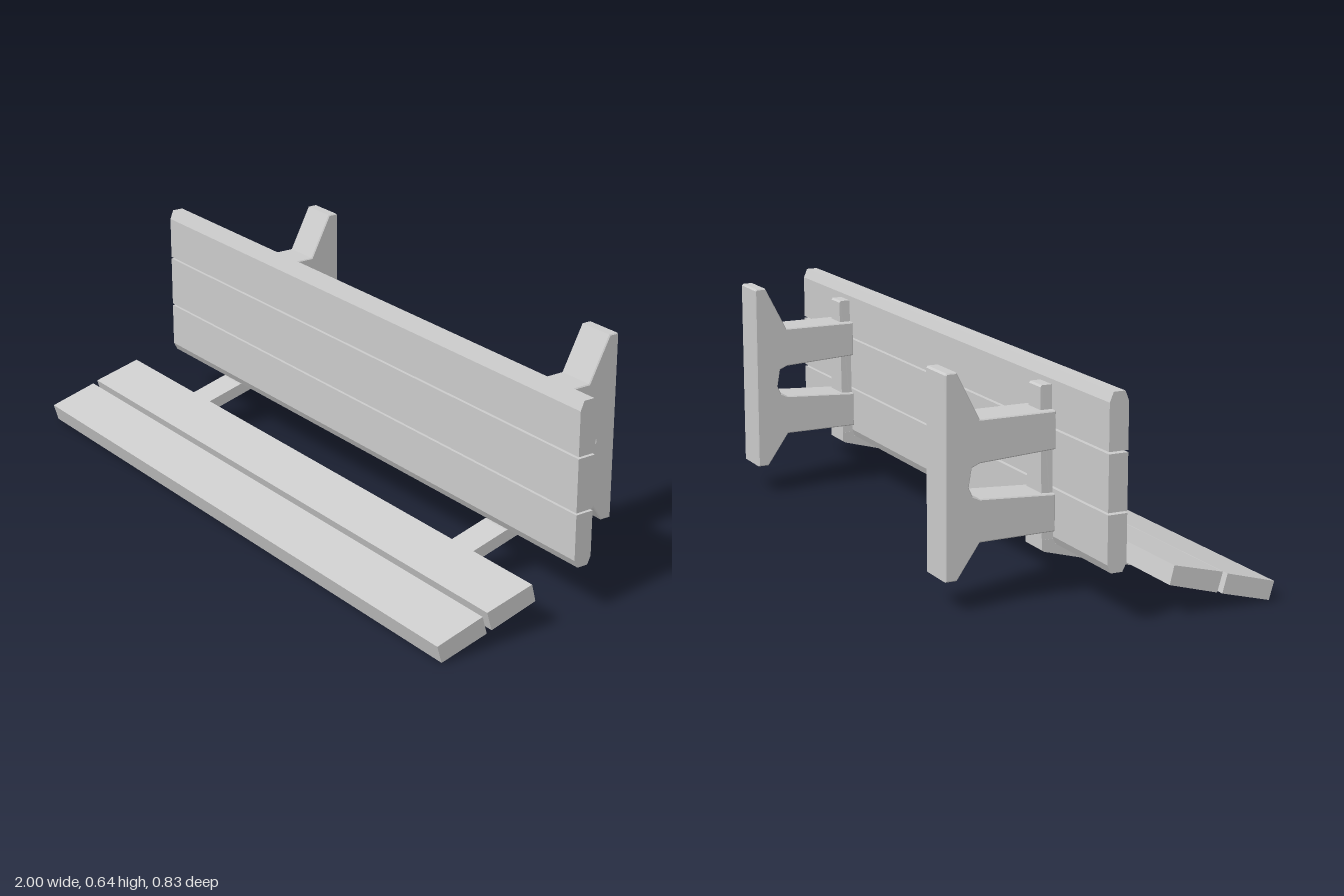
import * as THREE from 'three';

const material = new THREE.MeshStandardMaterial({ color: 0xcccccc, flatShading: true });

// Extrude a side profile of [z, y] points across the width, centred on x = 0
function slab(name, points, width, bevel = 0) {
  const shape = new THREE.Shape(points.map(([z, y]) => new THREE.Vector2(z, y)));
  const depth = width - 2 * bevel;
  const geometry = new THREE.ExtrudeGeometry(shape, {
    depth,
    bevelEnabled: bevel > 0,
    bevelThickness: bevel,
    bevelSize: bevel,
    bevelOffset: -bevel,
    bevelSegments: 1,
  });
  geometry.translate(0, 0, -depth / 2);
  geometry.rotateY(-Math.PI / 2);
  const mesh = new THREE.Mesh(geometry, material);
  mesh.name = name;
  return mesh;
}

export function createModel() {
  const group = new THREE.Group();
  group.name = 'bench';
  const front = -0.036, back = -0.092;

  // Three backrest planks, the outer two with chamfered edges
  group.add(slab('backrestTopPlank', [
    [front, 0.469], [front, 0.597], [-0.047, 0.624], [-0.081, 0.624], [back, 0.597], [back, 0.469],
  ], 2));
  group.add(slab('backrestMiddlePlank', [
    [front, 0.309], [front, 0.463], [back, 0.463], [back, 0.309],
  ], 2));
  group.add(slab('backrestBottomPlank', [
    [front, 0.303], [front, 0.171], [-0.048, 0.148], [-0.081, 0.148], [back, 0.171], [back, 0.303],
  ], 2));

  // Two sloping seat planks
  group.add(slab('seatFrontPlank', [[0.419, 0.058], [0.272, 0.099], [0.257, 0.046], [0.404, 0.007]], 2));
  group.add(slab('seatRearPlank', [[0.257, 0.106], [0.108, 0.144], [0.095, 0.092], [0.241, 0.051]], 2));

  for (const side of [-1, 1]) {
    const support = new THREE.Group();
    support.name = side > 0 ? 'leftSupport' : 'rightSupport';
    support.position.x = side * 0.663;

    // Wall bracket: tall back plate with two arms reaching the backrest
    support.add(slab('bracket', [
      [back, 0.517], [-0.315, 0.517], [-0.382, 0.647], [-0.41, 0.647], [-0.415, 0.642],
      [-0.415, 0.09], [-0.382, 0.09], [-0.315, 0.186], [back, 0.188],
      [back, 0.291], [-0.315, 0.304], [-0.336, 0.314], [-0.347, 0.338],
      [-0.338, 0.39], [-0.315, 0.4], [back, 0.413],
    ], 0.116, 0.003));

    // Upright post behind the planks, narrowing towards its top
    const post = slab('post', [
      [back, 0.15], [back, 0.583], [-0.121, 0.583], [-0.126, 0.578], [-0.126, 0.15],
    ], 0.094);
    const p = post.geometry.attributes.position;
    for (let i = 0; i < p.count; i++) {
      if (p.getY(i) > 0.4) p.setX(i, p.getX(i) * 0.68);
    }
    post.geometry.computeVertexNormals();
    support.add(post);

    // Sloping bar carrying the seat
    support.add(slab('seatBar', [
      [0.36, 0.037], [0.35, 0.003], [-0.119, 0.132], [-0.126, 0.137],
      [-0.126, 0.165], [back, 0.165], [-0.085, 0.15], [-0.042, 0.147],
    ], 0.094));
    group.add(support);
  }
  return group;
}
